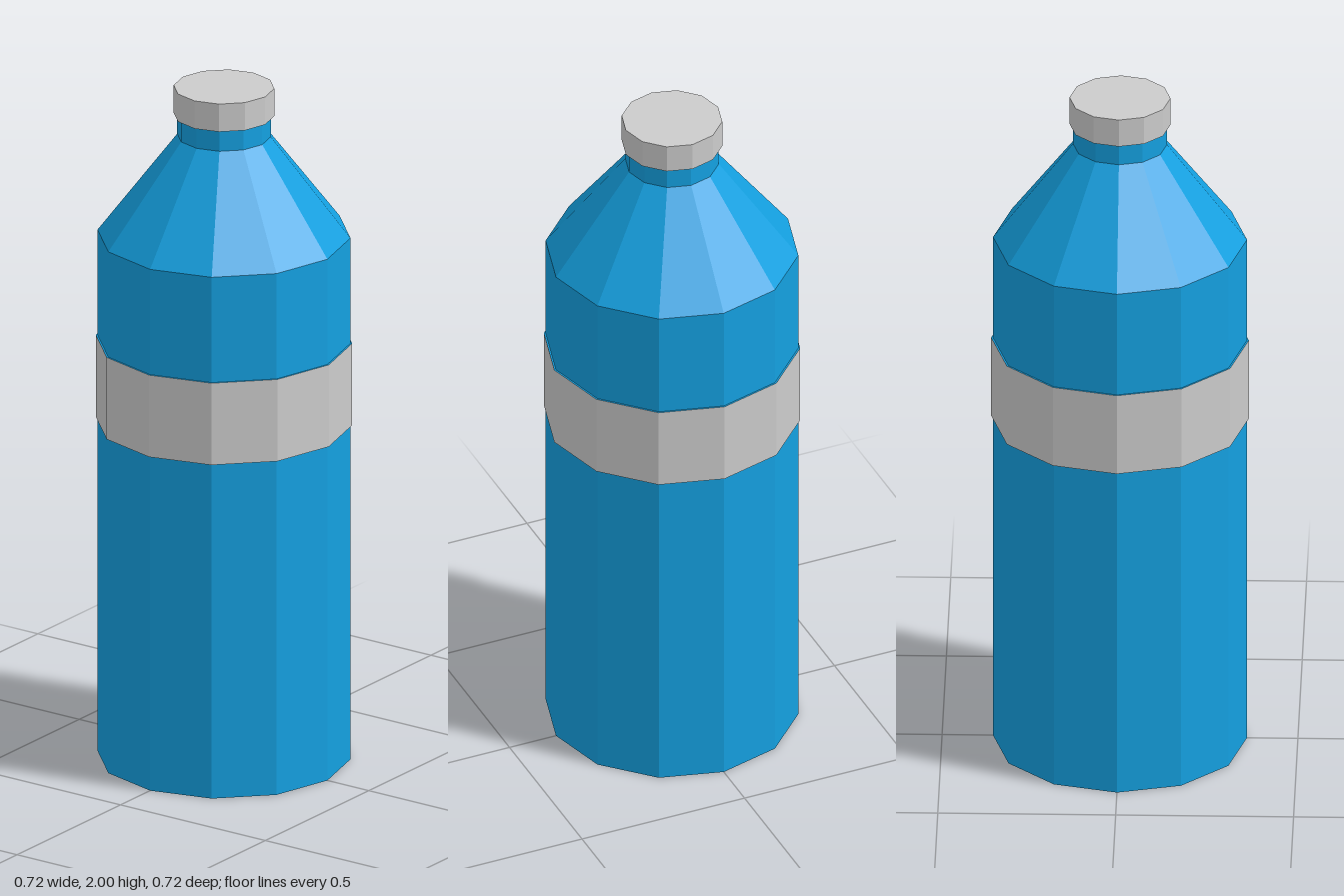
import * as THREE from 'three';

const SIDES = 12;

export function createModel() {
  const group = new THREE.Group();
  const blue = new THREE.MeshStandardMaterial({ color: 0x14a0e0, flatShading: true });
  const grey = new THREE.MeshStandardMaterial({ color: 0xcccccc, flatShading: true });

  // Turns a profile of [radius, height] pairs, listed bottom to top
  const turned = (name, profile, material) => {
    const points = profile.map(([r, y]) => new THREE.Vector2(r, y));
    const mesh = new THREE.Mesh(new THREE.LatheGeometry(points, SIDES), material);
    mesh.name = name;
    group.add(mesh);
  };

  const body = 0.357, band = 0.362, neck = 0.132, cap = 0.142;

  // Closed base and lower wall, stepping out under the label band
  turned('lowerBody', [[0, 0], [body, 0], [body, 1], [band, 1]], blue);

  // Label band wrapped round the body
  turned('labelBand', [[band, 1], [band, 1.245]], grey);

  // Upper wall, sloping shoulder and short neck
  turned('upperBody', [[band, 1.245], [body, 1.245], [body, 1.56], [neck, 1.855], [neck, 1.92]], blue);

  // Screw cap, closed top and bottom
  turned('cap', [[0, 1.917], [cap, 1.917], [cap, 2], [0, 2]], grey);

  return group;
}
